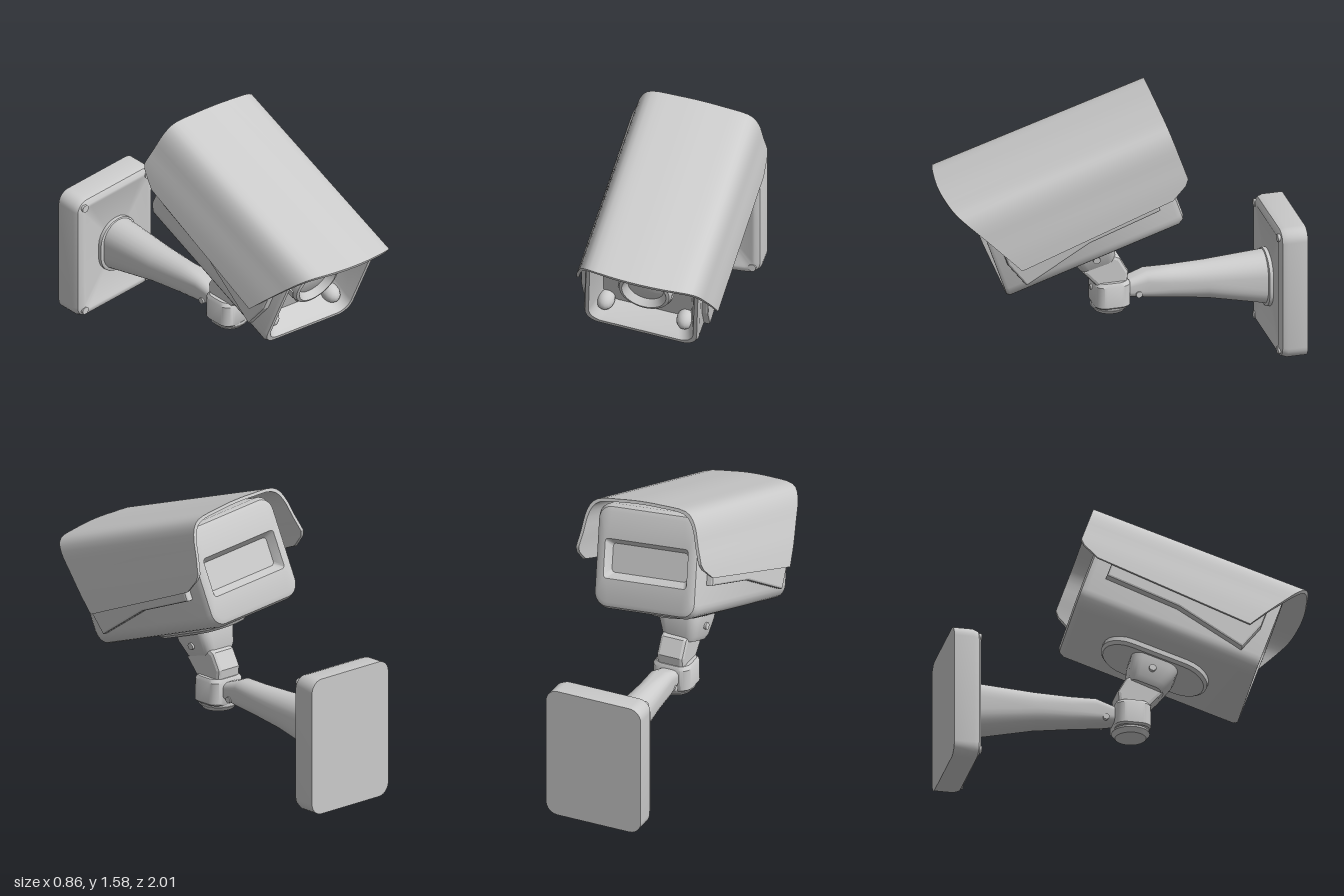
import * as THREE from 'three';
import { toCreasedNormals } from 'three/addons/utils/BufferGeometryUtils.js';

const material = new THREE.MeshStandardMaterial({ color: 0xcccccc, side: THREE.DoubleSide });

function add(parent, name, geometry, x = 0, y = 0, z = 0) {
  const mesh = new THREE.Mesh(geometry, material);
  mesh.name = name;
  mesh.position.set(x, y, z);
  parent.add(mesh);
  return mesh;
}

// Joins rings of [x, y, z] points into a closed skin with a cap at each end
function skin(rings, crease = 0.6) {
  const n = rings[0].length, pos = rings.flat(2), index = [];
  for (let k = 0; k < rings.length - 1; k++) {
    for (let i = 0; i < n; i++) {
      const a = k * n + i, b = k * n + (i + 1) % n;
      index.push(a, b, b + n, a, b + n, a + n);
    }
  }
  const cap = (ring, start, flip) => {
    const c = pos.length / 3;
    for (let j = 0; j < 3; j++) pos.push(ring.reduce((s, p) => s + p[j], 0) / n);
    for (let i = 0; i < n; i++) {
      const a = start + i, b = start + (i + 1) % n;
      index.push(c, flip ? b : a, flip ? a : b);
    }
  };
  cap(rings[0], 0, true);
  cap(rings[rings.length - 1], (rings.length - 1) * n, false);
  const g = new THREE.BufferGeometry();
  g.setAttribute('position', new THREE.Float32BufferAttribute(pos, 3));
  g.setIndex(index);
  return toCreasedNormals(g, crease);
}

// Rounded rectangle ring, counter-clockwise seen from +z
function ring(z, hx, hy, r, cy = 0, steps = 6) {
  const pts = [];
  for (let c = 0; c < 4; c++) {
    const sx = c === 0 || c === 3 ? 1 : -1, sy = c < 2 ? 1 : -1;
    for (let i = 0; i <= steps; i++) {
      const a = (c + i / steps) * Math.PI / 2;
      const rx = Math.min(r, hx * 0.98), ry = Math.min(r, hy * 0.98);
      pts.push([sx * (hx - rx) + rx * Math.cos(a), cy + sy * (hy - ry) + ry * Math.sin(a), z]);
    }
  }
  return pts;
}
const loft = (stations, crease) => skin(stations.map(s => ring(...s)), crease);

// Side profile in (z, y) extruded across x, centred on x = 0
function sideProfile(points, width, bevel = 0.012) {
  const shape = new THREE.Shape(points.map(p => new THREE.Vector2(...p)));
  const g = new THREE.ExtrudeGeometry(shape, {
    depth: width - 2 * bevel, bevelThickness: bevel, bevelSize: bevel, bevelOffset: -bevel, bevelSegments: 2 });
  return g.translate(0, 0, -(width - 2 * bevel) / 2).rotateY(-Math.PI / 2);
}

function bolt(parent, name, r, length, axis, x, y, z) {
  const g = new THREE.CylinderGeometry(r, r, length, 12);
  if (axis === 'x') g.rotateZ(Math.PI / 2);
  if (axis === 'z') g.rotateX(Math.PI / 2);
  return add(parent, name, g, x, y, z);
}

// Thin hood wrapped over the housing: raked front edge, straight rear edge
function hoodGeometry() {
  const half = [[0.40, -0.09], [0.385, 0.02], [0.36, 0.14], [0.33, 0.26], [0.27, 0.325], [0.13, 0.34]];
  const path = [...half.map(([x, y]) => [-x, y]), [0, 0.345], ...half.slice().reverse()];
  const curve = new THREE.SplineCurve(path.map(p => new THREE.Vector2(...p)));
  const rings = curve.getPoints(36).map(({ x, y }) => {
    const t = (y + 0.09) / 0.435;
    const front = -0.12 + 0.25 * t - 0.25 * x * x * t;
    const rear = -1.14 + 0.12 * Math.max(0, 1 - t * 5);
    const rearY = y + 0.05 * Math.max(0, 1 - t * 2);
    const ix = x * 0.955, iy = y * 0.95;
    return [[x, rearY, rear], [x, y, front], [ix, iy, front], [ix, rearY - y + iy, rear]];
  });
  return skin(rings, 0.7);
}

function createHousing() {
  const g = new THREE.Group();
  g.name = 'cameraHousing';
  g.rotation.order = 'YXZ';
  g.rotation.set(0.335, -0.07, -0.12);
  g.position.set(-0.025, 0.87, 0.77);

  // Body with a rear pocket and a recessed front window
  add(g, 'housingBody', loft([
    [-1.0, 0.23, 0.08, 0.02, -0.01],
    [-1.05, 0.255, 0.11, 0.02, -0.01],
    [-1.05, 0.285, 0.25, 0.06],
    [-1.04, 0.305, 0.275, 0.075],
    [-1.01, 0.32, 0.29, 0.085],
    [-0.02, 0.325, 0.295, 0.085],
    [0, 0.315, 0.285, 0.08],
    [0, 0.295, 0.265, 0.075],
    [-0.03, 0.28, 0.25, 0.075],
    [-0.13, 0.25, 0.22, 0.09],
  ]));

  // Lens barrel with dished glass
  const lens = [[0.15, -0.14], [0.15, -0.07], [0.142, -0.05], [0.125, -0.045], [0.115, -0.06],
    [0.10, -0.085], [0.06, -0.075], [0, -0.07]].map(p => new THREE.Vector2(...p));
  const lensGeo = new THREE.LatheGeometry(lens, 40).rotateX(Math.PI / 2);
  add(g, 'lens', toCreasedNormals(lensGeo, 0.7), 0, 0.02, 0);
  for (let i = 0; i < 8; i++) {
    const a = (i + 0.5) * Math.PI / 4;
    const lug = add(g, 'lensLug', new THREE.BoxGeometry(0.018, 0.06, 0.05),
      0.145 * Math.cos(a), 0.02 + 0.145 * Math.sin(a), -0.095);
    lug.rotation.z = a;
  }

  // Corner bosses and side panels
  for (const s of [-1, 1]) {
    for (const t of [-1, 1]) {
      const boss = add(g, 'cornerBoss', new THREE.SphereGeometry(0.05, 14, 10), s * 0.225, t * 0.2, -0.1);
      boss.scale.z = 1.3;
    }
    add(g, 'sidePanel', sideProfile([[-0.06, 0.12], [-0.06, -0.05], [-0.115, -0.22], [-0.52, -0.12],
      [-0.94, -0.1], [-0.94, 0.12]], 0.05), s * 0.335, 0, 0);
  }

  add(g, 'sunHood', hoodGeometry());

  // Mounting foot and swivel head beneath the body
  add(g, 'mountingFoot', loft([[0, 0.14, 0.29, 0.14], [0.015, 0.155, 0.305, 0.15], [0.05, 0.155, 0.305, 0.15]])
    .rotateX(-Math.PI / 2), 0, -0.335, -0.525);
  add(g, 'swivelHead', loft([[-0.16, 0.085, 0.09, 0.04], [-0.13, 0.105, 0.105, 0.05],
    [-0.04, 0.125, 0.13, 0.06], [0, 0.13, 0.135, 0.07]]).rotateX(-Math.PI / 2), 0, -0.325, -0.53);
  bolt(g, 'swivelBolt', 0.02, 0.26, 'x', 0, -0.4, -0.53);
  return g;
}

function createMount() {
  const g = new THREE.Group();
  g.name = 'wallMount';
  g.position.x = -0.015;

  // Wall plate with softened front edges and corner screws
  add(g, 'wallPlate', loft([[-1, 0.285, 0.385, 0.07, 0.385], [-0.89, 0.285, 0.385, 0.07, 0.385],
    [-0.86, 0.275, 0.375, 0.065, 0.385], [-0.845, 0.25, 0.35, 0.05, 0.385],
    [-0.845, 0.235, 0.335, 0.045, 0.385], [-0.85, 0.225, 0.325, 0.04, 0.385]]));
  for (const s of [-1, 1]) for (const t of [-1, 1])
    bolt(g, 'plateScrew', 0.022, 0.02, 'z', s * 0.235, 0.385 + t * 0.335, -0.85);

  // Flared arm and its flange
  add(g, 'armFlange', loft([[-0.86, 0.13, 0.165, 0.13, 0.385], [-0.83, 0.13, 0.165, 0.13, 0.385],
    [-0.825, 0.122, 0.157, 0.12, 0.385]]));
  add(g, 'arm', loft([[-0.84, 0.115, 0.155, 0.115, 0.39], [-0.5, 0.09, 0.107, 0.09, 0.418],
    [-0.3, 0.075, 0.09, 0.07, 0.43], [-0.16, 0.07, 0.077, 0.05, 0.44],
    [-0.06, 0.06, 0.05, 0.035, 0.43], [0, 0.06, 0.045, 0.035, 0.43]], 0.8));
  bolt(g, 'armBolt', 0.018, 0.145, 'x', 0, 0.4, -0.11);

  // Rotating joint: socket, base cap and set screw
  add(g, 'jointSocket', loft([[0.35, 0.105, 0.095, 0.06], [0.36, 0.115, 0.1, 0.06],
    [0.48, 0.112, 0.1, 0.06], [0.5, 0.1, 0.09, 0.06]]).rotateX(-Math.PI / 2), 0, 0, 0.04);
  add(g, 'jointCap', new THREE.CylinderGeometry(0.1, 0.1, 0.02, 32), 0, 0.345, 0.04);
  add(g, 'jointBase', new THREE.CylinderGeometry(0.105, 0.085, 0.025, 32), 0, 0.325, 0.04);
  bolt(g, 'jointScrew', 0.015, 0.02, 'z', 0, 0.45, 0.14);

  // Slanted link up to the swivel head
  add(g, 'jointLink', sideProfile([[0.21, 0.57], [0.12, 0.47], [-0.04, 0.46], [-0.05, 0.55],
    [0.0, 0.64], [0.14, 0.7]], 0.16, 0.02));
  return g;
}

export function createModel() {
  const model = new THREE.Group();
  model.name = 'securityCamera';
  model.add(createMount(), createHousing());
  return model;
}
